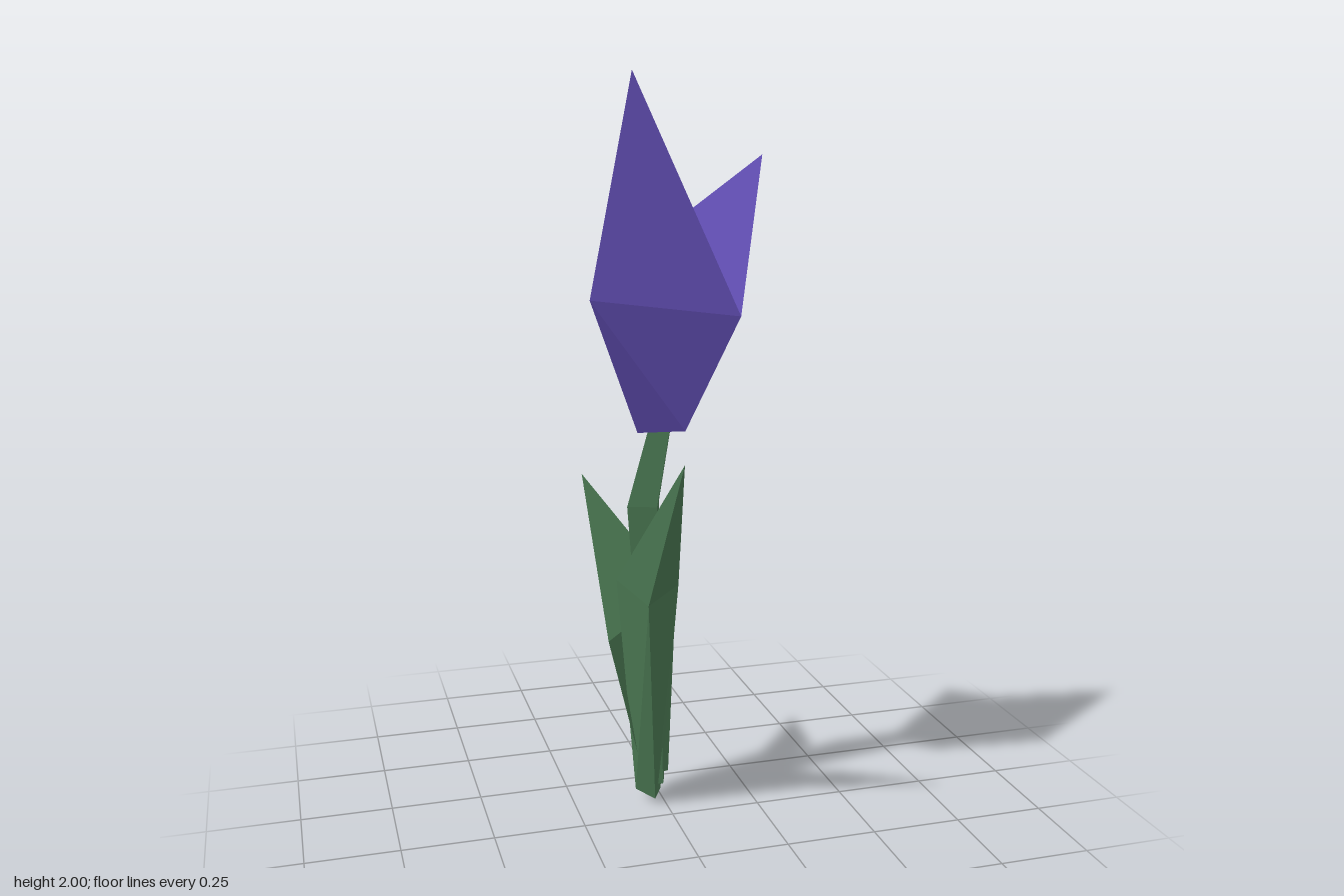
import * as THREE from 'three';
import { ConvexGeometry } from 'three/addons/geometries/ConvexGeometry.js';
import { mergeGeometries } from 'three/addons/utils/BufferGeometryUtils.js';

const v = (p) => new THREE.Vector3(...p);
const material = (color) => new THREE.MeshStandardMaterial({ color, flatShading: true });

// Faceted part made of one or more convex solids, each given by its corners
function facetedPart(name, mat, ...solids) {
  const geometry = mergeGeometries(solids.map((s) => new ConvexGeometry(s.map(v))));
  const mesh = new THREE.Mesh(geometry, mat);
  mesh.name = name;
  return mesh;
}

// Leaf: a triangular foot rising to a wider triangular waist, then a point bent outward
function leaf(name, mat, tip, waist, foot) {
  return facetedPart(name, mat, [tip, ...waist], [...waist, ...foot]);
}

export function createModel() {
  const purple = material(0x6450b8);
  const green = material(0x4d7c55);
  const group = new THREE.Group();
  group.name = 'tulip';

  // Corners shared by both petals
  const frontRim = [0.12, 1.415, 0.193];
  const frontBase = [0.01, 1.11, 0.083];
  const backBase = [0.037, 1.095, -0.093];

  // Flower
  const flower = new THREE.Group();
  flower.name = 'flower';
  flower.add(
    facetedPart('tallPetal', purple, [
      [-0.14, 2, 0.14],
      [-0.24, 1.455, 0.1], frontRim, [-0.08, 1.525, -0.225],
      [-0.09, 1.09, -0.02], frontBase, backBase,
    ]),
    facetedPart('shortPetal', purple, [
      [0.237, 1.8, 0],
      frontRim, [0.182, 1.4, -0.154],
      [-0.01, 1.625, 0.005], [-0.003, 1.453, -0.055],
      frontBase, backBase,
    ]),
  );
  group.add(flower);

  // Stem: square sections, bent once below the flower
  const ring = ([x, y, z, r]) => [0, 1, 2, 3].map((i) => {
    const a = 0.55 + (i * Math.PI) / 2;
    return [x + r * Math.sin(a - 0.1), y, z + r * Math.cos(a - 0.1)];
  });
  const rings = [
    [-0.015, 0.05, -0.115, 0.028],
    [-0.067, 0.89, -0.052, 0.056],
    [-0.025, 1.12, -0.022, 0.038],
  ].map(ring);
  group.add(facetedPart('stem', green, [...rings[0], ...rings[1]], [...rings[1], ...rings[2]]));

  // Leaves: waist and foot corners run right edge, keel, left edge
  group.add(
    leaf('frontLeaf', green, [-0.055, 1.075, 0.3],
      [[-0.155, 0.7, 0], [-0.095, 0.655, 0.105], [0, 0.69, 0.055]],
      [[-0.075, 0.03, -0.12], [-0.03, 0.015, -0.075], [0.01, 0, -0.165]]),
    leaf('backLeaf', green, [-0.18, 0.92, -0.3],
      [[-0.17, 0.515, -0.035], [-0.09, 0.585, -0.17], [0.058, 0.6, -0.17]],
      [[-0.06, 0.08, -0.085], [-0.02, 0.065, -0.175], [0.033, 0.053, -0.165]]),
  );
  return group;
}
